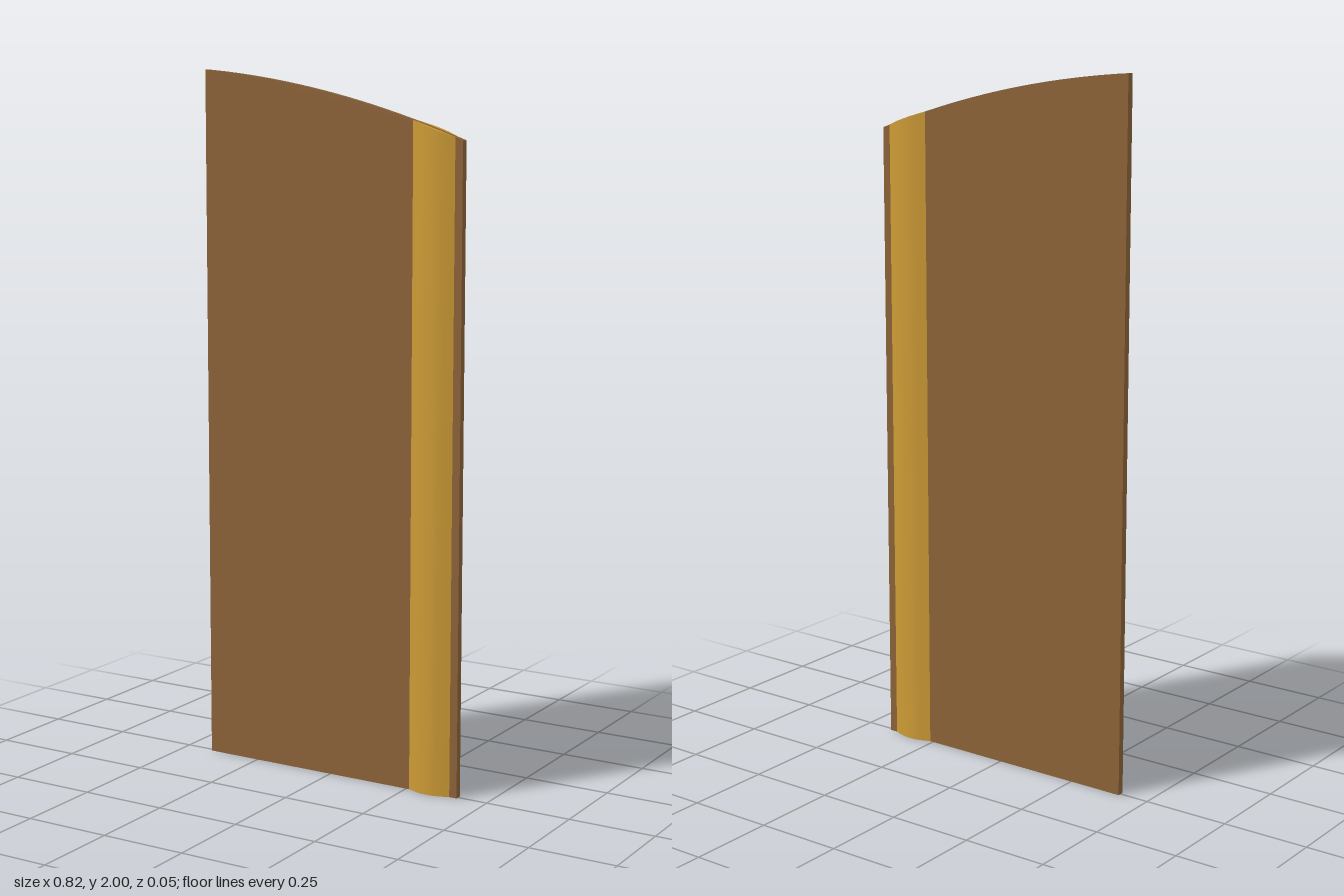
import * as THREE from 'three';

const HALF = 0.01; // half thickness of the panel

// Height of the gently curved top edge at x
function topAt(x) {
  const t = x + 0.41;
  return 2 - 0.082 * t - 0.1756 * t * t;
}

// Flat panel with a curved top edge
function makePanel() {
  const shape = new THREE.Shape();
  shape.moveTo(-0.412, 0);
  shape.lineTo(0.411, 0);
  for (let i = 0; i <= 16; i++) {
    const x = 0.411 - (0.823 * i) / 16;
    shape.lineTo(x, topAt(x));
  }
  shape.closePath();
  const geo = new THREE.ExtrudeGeometry(shape, { depth: HALF * 2, bevelEnabled: false });
  return geo.translate(0, 0, -HALF);
}

// Strip of quads between two rows of points
function makeStrip(rowA, rowB) {
  const index = [];
  for (let i = 0; i < rowA.length - 1; i++) {
    const a = i, b = i + 1, c = rowA.length + i, d = c + 1;
    index.push(a, b, d, a, d, c);
  }
  const geo = new THREE.BufferGeometry();
  geo.setAttribute('position', new THREE.Float32BufferAttribute([...rowA, ...rowB].flat(), 3));
  geo.setIndex(index);
  geo.computeVertexNormals();
  return geo;
}

export function createModel() {
  const brown = new THREE.MeshStandardMaterial({ color: 0x8b6237 });
  brown.name = 'brown wood';
  const gold = new THREE.MeshStandardMaterial({ color: 0xcc9a35 });
  gold.name = 'gold';

  const model = new THREE.Group();
  model.name = 'curvedPanel';
  const add = (geo, mat, name, parent) => {
    const mesh = new THREE.Mesh(geo, mat);
    mesh.name = name;
    parent.add(mesh);
  };
  add(makePanel(), brown, 'panel', model);

  // Shallow rounded rib on one face: x and height above the middle plane
  const profile = [
    [0.26, 0.01], [0.28, 0.0175], [0.299, 0.0238], [0.312, 0.0255], [0.324, 0.026],
    [0.336, 0.0255], [0.349, 0.0238], [0.368, 0.0175], [0.388, 0.01],
  ];
  // The back rib is the front one turned about x, so the winding stays outward
  for (const side of [1, -1]) {
    const rib = new THREE.Group();
    rib.name = side > 0 ? 'frontRib' : 'backRib';
    const points = side > 0 ? profile : [...profile].reverse();
    const row = (yOf, zOf) => points.map(([x, z]) => [x, yOf(x), side * zOf(z)]);
    const outer = z => z, inner = () => HALF - 0.001, floor = () => 0;
    add(makeStrip(row(floor, outer), row(topAt, outer)), gold, 'ribFace', rib);
    add(makeStrip(row(topAt, outer), row(topAt, inner)), gold, 'ribTop', rib);
    add(makeStrip(row(floor, inner), row(floor, outer)), gold, 'ribBottom', rib);
    model.add(rib);
  }
  return model;
}
